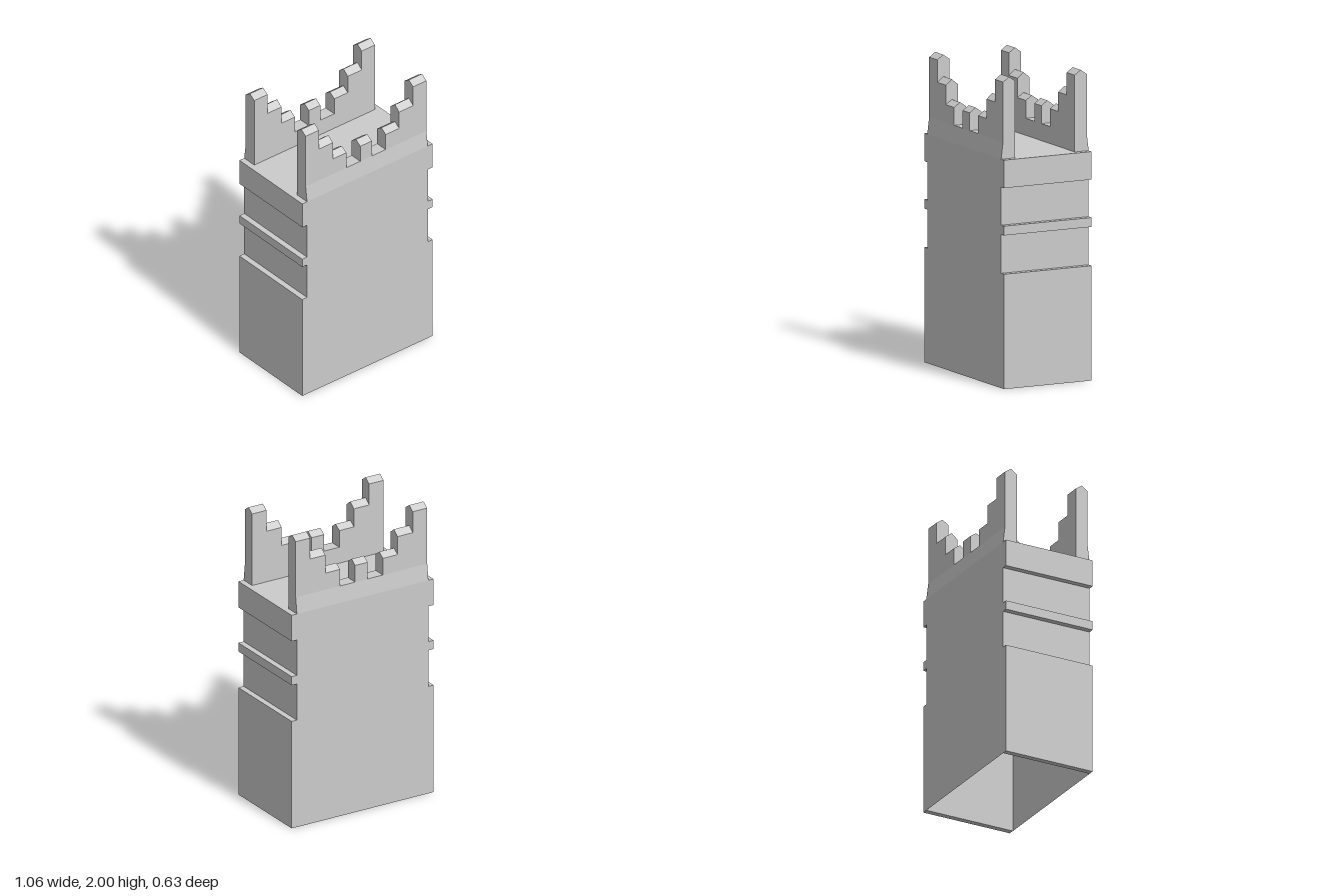
import * as THREE from 'three';

const HALF_X = 0.532, CORE_X = 0.493, HALF_Z = 0.315, DECK_Y = 1.475;

export function createModel() {
  const model = new THREE.Group();
  model.name = 'tower';
  const solid = new THREE.MeshStandardMaterial({ color: 0xcccccc, flatShading: true });
  const thin = new THREE.MeshStandardMaterial({ color: 0xcccccc, flatShading: true, side: THREE.DoubleSide });

  const add = (parent, name, geometry, material, x = 0, y = 0, z = 0) => {
    const mesh = new THREE.Mesh(geometry, material);
    mesh.name = name;
    mesh.position.set(x, y, z);
    parent.add(mesh);
  };

  // Hollow shell: thin walls and a deck, open underneath
  const shell = new THREE.BoxGeometry(CORE_X * 2, DECK_Y, HALF_Z * 2);
  const faces = Array.from(shell.index.array);
  faces.splice(18, 6); // drop the bottom face
  shell.setIndex(faces);
  shell.clearGroups();
  add(model, 'shell', shell, thin, 0, DECK_Y / 2, 0);

  // Raised bands on both narrow sides: [name, bottom, top]
  const bands = [['plinth', 0, 0.74], ['middleBand', 0.99, 1.05], ['topBand', 1.295, DECK_Y]];
  for (const [name, y0, y1] of bands) {
    for (const side of [1, -1]) {
      const band = new THREE.BoxGeometry(HALF_X - CORE_X, y1 - y0, HALF_Z * 2);
      const label = (side > 0 ? 'left' : 'right') + name[0].toUpperCase() + name.slice(1);
      add(model, label, band, solid, side * (HALF_X + CORE_X) / 2, (y0 + y1) / 2, 0);
    }
  }

  // Parapet slice: flared foot, upright faces and an optional ridged cap
  const slice = (x0, x1, shoulder, peak) => {
    const points = [[0.2145, DECK_Y], [HALF_Z, DECK_Y], [0.301, 1.585]];
    if (peak) points.push([0.301, shoulder], [0.258, peak], [0.2145, shoulder]);
    else points.push([0.2145, 1.585]);
    const shape = new THREE.Shape(points.map(([z, y]) => new THREE.Vector2(z, y)));
    return new THREE.ExtrudeGeometry(shape, { depth: x1 - x0, bevelEnabled: false })
      .rotateY(-Math.PI / 2).translate(x1, 0, 0);
  };

  // Stepped half of a parapet, from the centre outwards: [x0, x1, shoulder, peak]
  const steps = [
    [0.047, 0.161],
    [0.161, 0.271, 1.70, 1.73],
    [0.271, 0.385, 1.825, 1.86],
    [0.385, CORE_X, 1.97, 2.0],
  ];
  for (const name of ['frontParapet', 'backParapet']) {
    const parapet = new THREE.Group();
    parapet.name = name;
    add(parapet, 'centreMerlon', slice(-0.047, 0.047, 1.70, 1.73), solid);
    for (const [x0, x1, shoulder, peak] of steps) {
      const part = peak ? 'merlon' : 'crenel';
      add(parapet, part, slice(x0, x1, shoulder, peak), solid);
      add(parapet, part, slice(-x1, -x0, shoulder, peak), solid);
    }
    if (name === 'backParapet') parapet.rotation.y = Math.PI;
    model.add(parapet);
  }
  return model;
}
